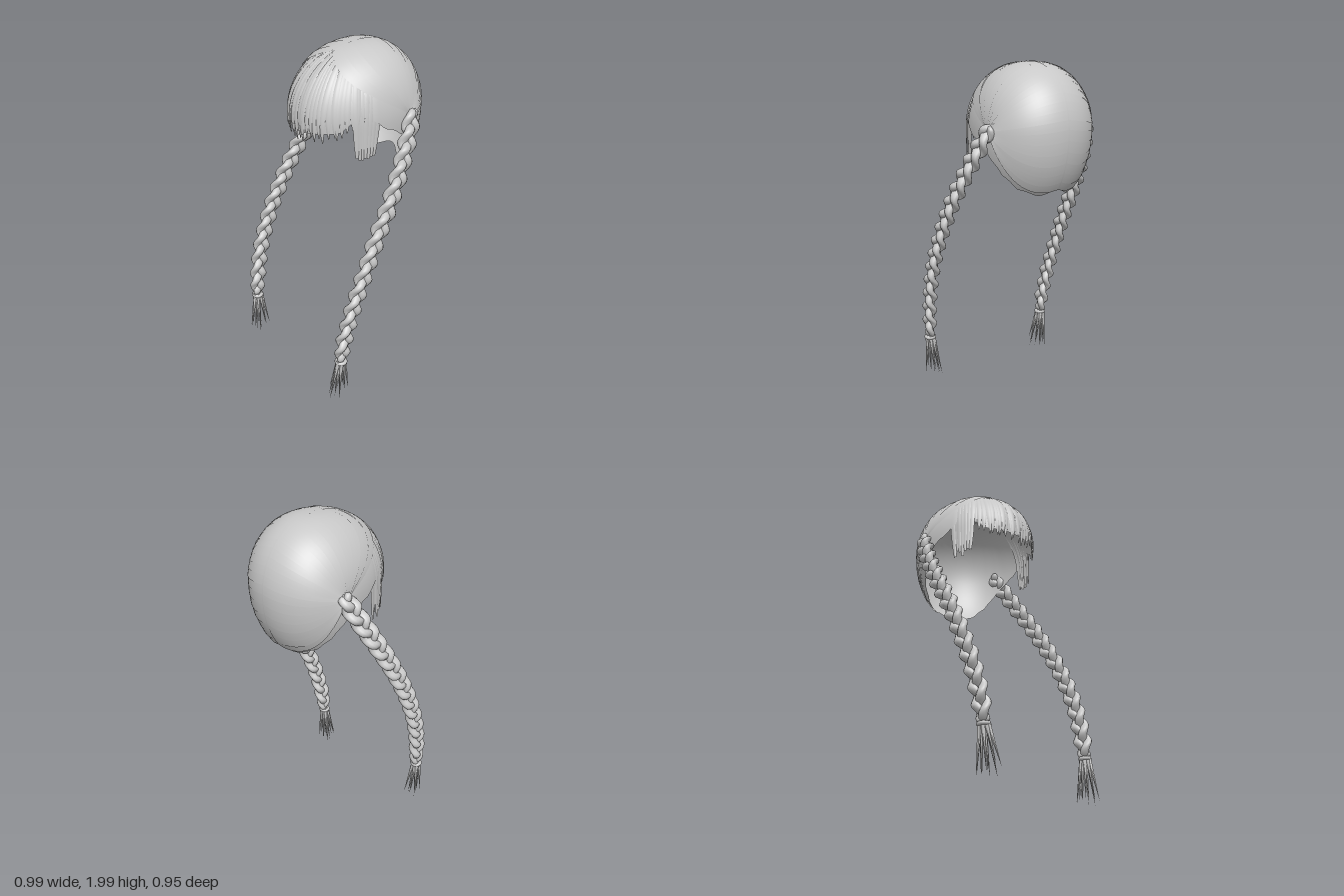
import * as THREE from 'three';
import { mergeGeometries, mergeVertices } from 'three/addons/utils/BufferGeometryUtils.js';

const hair = new THREE.MeshStandardMaterial({ color: 0xc8c8c8, side: THREE.DoubleSide });
hair.name = 'hair grey';

const { sin, cos, PI, max, min, pow, hypot, acos, asin } = Math;
const lerp = THREE.MathUtils.lerp;
const rad = THREE.MathUtils.degToRad;

let seed = 7;
const rnd = () => (seed = (seed * 16807) % 2147483647) / 2147483647;

// Smooth sheet from a function f(u, v) -> Vector3, u and v in 0..1
function sheet(nu, nv, f) {
  const pos = [], idx = [];
  for (let j = 0; j <= nv; j++)
    for (let i = 0; i <= nu; i++) pos.push(...f(i / nu, j / nv).toArray());
  for (let j = 0; j < nv; j++)
    for (let i = 0; i < nu; i++) {
      const a = j * (nu + 1) + i, b = a + nu + 1;
      idx.push(a, b, a + 1, a + 1, b, b + 1);
    }
  let g = new THREE.BufferGeometry();
  g.setAttribute('position', new THREE.Float32BufferAttribute(pos, 3));
  g.setIndex(idx);
  g = mergeVertices(g, 1e-5);
  g.computeVertexNormals();
  return g;
}

function part(name, geos) {
  const m = new THREE.Mesh(mergeGeometries(geos), hair);
  m.name = name;
  return m;
}

// Head form: a direction pushed out to the skull-shaped surface
const CY = 1.62, CZ = -0.12, RX = 0.34, UP = 0.373, DOWN = 0.46, FRONT = 0.46, BACK = 0.36;
function onHead(d, r = 1) {
  const h = hypot(d.x, d.z) || 1e-6, s = pow(h, 0.9) * r / h;
  return new THREE.Vector3(RX * s * d.x, CY + d.y * r * (d.y > 0 ? UP : DOWN),
    CZ + s * d.z * (d.z > 0 ? FRONT : BACK));
}
const polar = (th, ph) => new THREE.Vector3(sin(th) * sin(ph), cos(th), sin(th) * cos(ph));
const thetaAt = y => acos((y - CY) / (y > CY ? UP : DOWN));

// Piecewise linear lookup in [angle, height] pairs
function lookup(t, x) {
  let i = 0;
  while (i < t.length - 2 && x > t[i + 1][0]) i++;
  const [a, b] = [t[i], t[i + 1]];
  return lerp(a[1], b[1], THREE.MathUtils.smoothstep(x, a[0], b[0]));
}
const capHem = [[66, 1.65], [80, 1.58], [95, 1.52], [105, 1.45], [115, 1.37], [130, 1.3], [155, 1.265], [180, 1.295]];
const bangHem = [[0, 1.54], [38, 1.56], [57, 1.64], [70, 1.7]];

function capLimit(deg) {
  if (deg >= 66) return thetaAt(lookup(capHem, deg));
  return min(thetaAt(1.65), asin(min(1, pow(0.19 / (FRONT * cos(rad(deg))), 1 / 0.9))));
}

function makeCap() {
  // Under layer closing the whole skull
  const geos = [sheet(96, 28, (u, v) => {
    const deg = u * 360 - 180;
    return onHead(polar(max(0.001, v * capLimit(Math.abs(deg))), rad(deg)), 0.992);
  })];
  // Combed ribbons from the centre parting to each braid root
  const N = 20;
  for (const side of [1, -1]) {
    const root = new THREE.Vector3(0.97 * side, 0.0, -0.2).normalize();
    for (let i = 0; i < N; i++) {
      const lift = 0.008 + rnd() * 0.008;
      geos.push(sheet(3, 20, (u, v) => {
        const t = (i + u * 1.08) / N, w = 1 - 2 * t;
        const a = lerp(0.42, -2.34, min(1, t));
        const start = new THREE.Vector3(0.012 * side, cos(a), sin(a)).normalize();
        const d = start.lerp(root, v * 0.98);
        d.z += 0.3 * max(w, 0) ** 2 * sin(PI * v);
        d.y -= 0.2 * max(-w, 0) ** 2 * sin(PI * v);
        return onHead(d.normalize(), 0.996 + lift * sin(PI * min(1, v * 1.3 + 0.12) * 0.6) * (0.35 + 0.65 * u));
      }));
    }
  }
  return part('cap', geos);
}

function makeFringe() {
  // Solid under layer, then pointed overlapping strands
  const geos = [sheet(40, 14, (u, v) => {
    const deg = lerp(-64, 64, u);
    return onHead(polar(lerp(0.25, thetaAt(lookup(bangHem, Math.abs(deg)) + 0.025), v), rad(deg)), 0.972);
  })];
  const N = 34;
  for (let i = 0; i < N; i++) {
    const c = lerp(-62, 62, i / (N - 1)) + (rnd() - 0.5) * 2;
    const end = thetaAt(lookup(bangHem, Math.abs(c)) - 0.01 + (rnd() - 0.5) * 0.04);
    const drift = (rnd() - 0.5) * 3, r = 0.974 + rnd() * 0.01;
    geos.push(sheet(4, 14, (u, v) => {
      const k = 2 * u - 1, width = 3.1 * (1 - 0.85 * pow(v, 7));
      return onHead(polar(lerp(0.28, end, v), rad(c + k * width + drift * v * v)), r + 0.009 * (1 - k * k));
    }));
  }
  return part('fringe', geos);
}

// Loose lock hanging in front of each ear
function makeSideLock(side) {
  const geos = [];
  for (let i = 0; i < 7; i++) {
    const c = lerp(53, 73, i / 6), tip = lerp(55, 68, i / 6);
    const end = 1.405 + rnd() * 0.05, r = 0.965 + rnd() * 0.02;
    geos.push(sheet(4, 14, (u, v) => {
      const y = lerp(1.88, end, v), k = 2 * u - 1;
      const s = y > CY ? pow(sin(thetaAt(y)), 0.9) : 1;
      const a = rad(lerp(c, tip, v) + k * 2.6 * (1 - 0.6 * pow(v, 5)));
      const q = s * (r + 0.012 * (1 - k * k));
      return new THREE.Vector3(side * RX * q * sin(a), y, CZ + FRONT * q * cos(a));
    }));
  }
  return part(side > 0 ? 'leftSideLock' : 'rightSideLock', geos);
}

// Three-strand braid with a tie and a tuft
function makeBraid(side) {
  const g = new THREE.Group();
  g.name = side > 0 ? 'leftBraid' : 'rightBraid';
  const path = new THREE.CatmullRomCurve3([
    [0.325, 1.66, -0.215], [0.36, 1.55, -0.165], [0.4, 1.4, -0.08], [0.436, 1.2, 0.04], [0.45, 1, 0.155],
    [0.457, 0.8, 0.25], [0.45, 0.6, 0.325], [0.437, 0.4, 0.372], [0.43, 0.265, 0.388],
  ].map(([x, y, z]) => new THREE.Vector3(x * side, y, z)));
  const turns = 5.2, X = new THREE.Vector3(1, 0, 0);
  const strands = [0, 1, 2].map(k => sheet(10, 120, (u, v) => {
    const p = path.getPointAt(v), T = path.getTangentAt(v);
    const W = new THREE.Vector3().crossVectors(T, X).normalize();
    const N = new THREE.Vector3().crossVectors(W, T);
    const t = 2 * PI * (turns * v + k / 3), a = u * 2 * PI;
    const ends = pow(max(0, 1 - pow(2 * v - 1, 40)), 0.5), size = lerp(1.02, 0.94, v);
    const spread = min(1, 0.6 + v * 6) * min(1, 0.4 + (1 - v) * 10);
    return p.addScaledVector(W, size * (0.029 * sin(t) * spread + 0.03 * ends * cos(a)))
      .addScaledVector(N, size * (0.017 * sin(2 * t) * spread + 0.023 * ends * sin(a)));
  }));
  g.add(part('braidStrands', strands));

  const end = path.getPointAt(1);
  const tie = new THREE.Mesh(new THREE.TorusGeometry(0.026, 0.012, 8, 18), hair);
  tie.name = 'braidTie';
  tie.rotation.x = PI / 2;
  tie.position.copy(end);
  g.add(tie);

  const spikes = [];
  for (let i = 0; i < 13; i++) {
    const a = i * 2.4, q = 0.25 + 0.75 * Math.sqrt(i / 12);
    const from = end.clone().add(new THREE.Vector3(0.018 * q * cos(a), 0.01, 0.024 * q * sin(a)));
    const to = new THREE.Vector3(side * 0.41 + 0.052 * q * cos(a), i % 4 ? 0.01 + rnd() * 0.05 : 0, 0.4 + 0.078 * q * sin(a));
    const dir = to.clone().sub(from), len = dir.length();
    const cone = new THREE.ConeGeometry(0.013, len, 5);
    cone.applyQuaternion(new THREE.Quaternion().setFromUnitVectors(new THREE.Vector3(0, 1, 0), dir.normalize()));
    cone.translate(...from.add(to).multiplyScalar(0.5).toArray());
    spikes.push(cone);
  }
  g.add(part('braidTuft', spikes));
  return g;
}

export function createModel() {
  seed = 7;
  const model = new THREE.Group();
  model.name = 'braidedHair';
  model.add(makeCap(), makeFringe());
  for (const side of [1, -1]) model.add(makeSideLock(side), makeBraid(side));
  return model;
}
